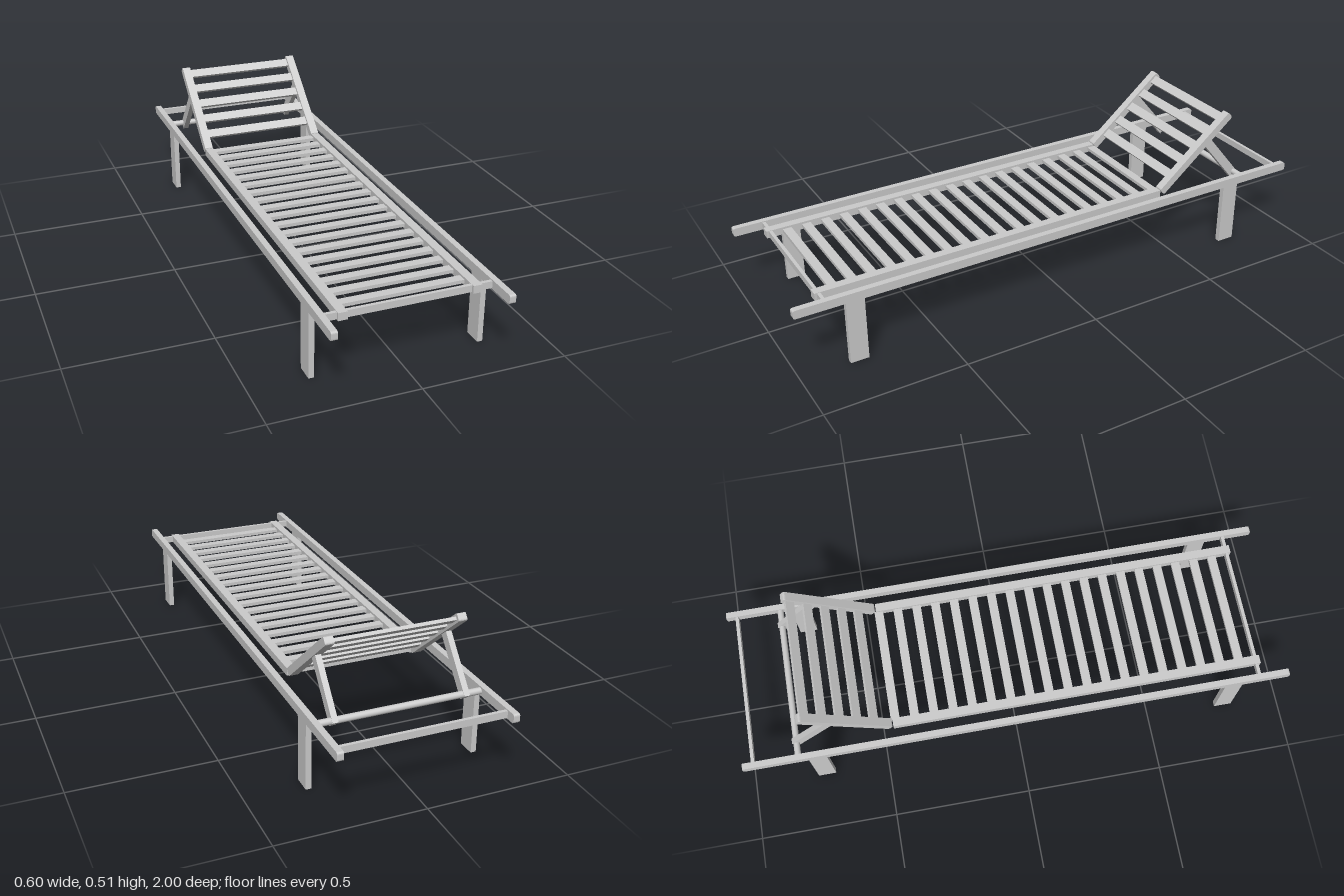
import * as THREE from 'three';

const material = new THREE.MeshStandardMaterial({ color: 0xcccccc, flatShading: true });
const smooth = new THREE.MeshStandardMaterial({ color: 0xcccccc });

function box(parent, name, size, pos) {
  const mesh = new THREE.Mesh(new THREE.BoxGeometry(...size), material);
  mesh.name = name;
  mesh.position.set(...pos);
  parent.add(mesh);
  return mesh;
}

// Long rail along z whose ends have softened corners
function softRail(parent, name, width, height, length, pos) {
  const l = length / 2, h = height / 2, r = 0.008;
  const s = new THREE.Shape();
  s.moveTo(-l + r, -h);
  s.lineTo(l - r, -h);
  s.quadraticCurveTo(l, -h, l, -h + r);
  s.lineTo(l, h - r);
  s.quadraticCurveTo(l, h, l - r, h);
  s.lineTo(-l + r, h);
  s.quadraticCurveTo(-l, h, -l, h - r);
  s.lineTo(-l, -h + r);
  s.quadraticCurveTo(-l, -h, -l + r, -h);
  const geo = new THREE.ExtrudeGeometry(s, { depth: width, bevelEnabled: false, curveSegments: 4 });
  geo.translate(0, 0, -width / 2);
  geo.rotateY(Math.PI / 2);
  const mesh = new THREE.Mesh(geo, material);
  mesh.name = name;
  mesh.position.set(...pos);
  parent.add(mesh);
}

export function createModel() {
  const model = new THREE.Group();
  model.name = 'sunLounger';

  // Outer frame, legs and inner seat rails, mirrored left and right
  for (const [side, label] of [[1, 'left'], [-1, 'right']]) {
    softRail(model, `${label}OuterRail`, 0.022, 0.031, 2, [side * 0.291, 0.248, 0]);
    box(model, `${label}FrontLeg`, [0.019, 0.236, 0.065], [side * 0.2925, 0.118, 0.793]);
    box(model, `${label}BackLeg`, [0.019, 0.236, 0.065], [side * 0.2925, 0.118, -0.733]);
    box(model, `${label}SeatRail`, [0.031, 0.027, 1.355], [side * 0.2245, 0.248, 0.2275]);
  }

  // Cross bars between the outer rails
  box(model, 'frontCrossBar', [0.565, 0.024, 0.012], [0, 0.248, 0.89]);
  box(model, 'backCrossBar', [0.565, 0.024, 0.012], [0, 0.248, -0.96]);
  const rod = new THREE.Mesh(new THREE.CylinderGeometry(0.0115, 0.0115, 0.57, 20), smooth);
  rod.name = 'supportRod';
  rod.rotation.z = Math.PI / 2;
  rod.position.set(0, 0.248, -0.8);
  model.add(rod);

  // Seat slats
  for (let i = 0; i < 19; i++) {
    box(model, 'seatSlat', [0.424, 0.012, 0.032], [0, 0.248, -0.44 + i * 0.0706]);
  }

  // Tilted backrest, built along local -z from its hinge
  const backrest = new THREE.Group();
  backrest.name = 'backrest';
  backrest.position.set(0, 0.251, -0.459);
  backrest.rotation.x = THREE.MathUtils.degToRad(39.6);
  for (const side of [1, -1]) {
    softRail(backrest, 'backrestRail', 0.031, 0.028, 0.386, [side * 0.2245, 0, -0.193]);
  }
  for (let i = 0; i < 5; i++) {
    box(backrest, 'backrestSlat', [0.424, 0.0115, 0.034], [0, 0, -0.358 + i * 0.0715]);
  }
  model.add(backrest);

  // Struts from the backrest down to the support rod
  for (const side of [1, -1]) {
    const strut = box(model, 'backrestStrut', [0.02, 0.034, 0.23], [side * 0.2255, 0.3245, -0.729]);
    strut.rotation.x = THREE.MathUtils.degToRad(-49.9);
  }

  return model;
}
